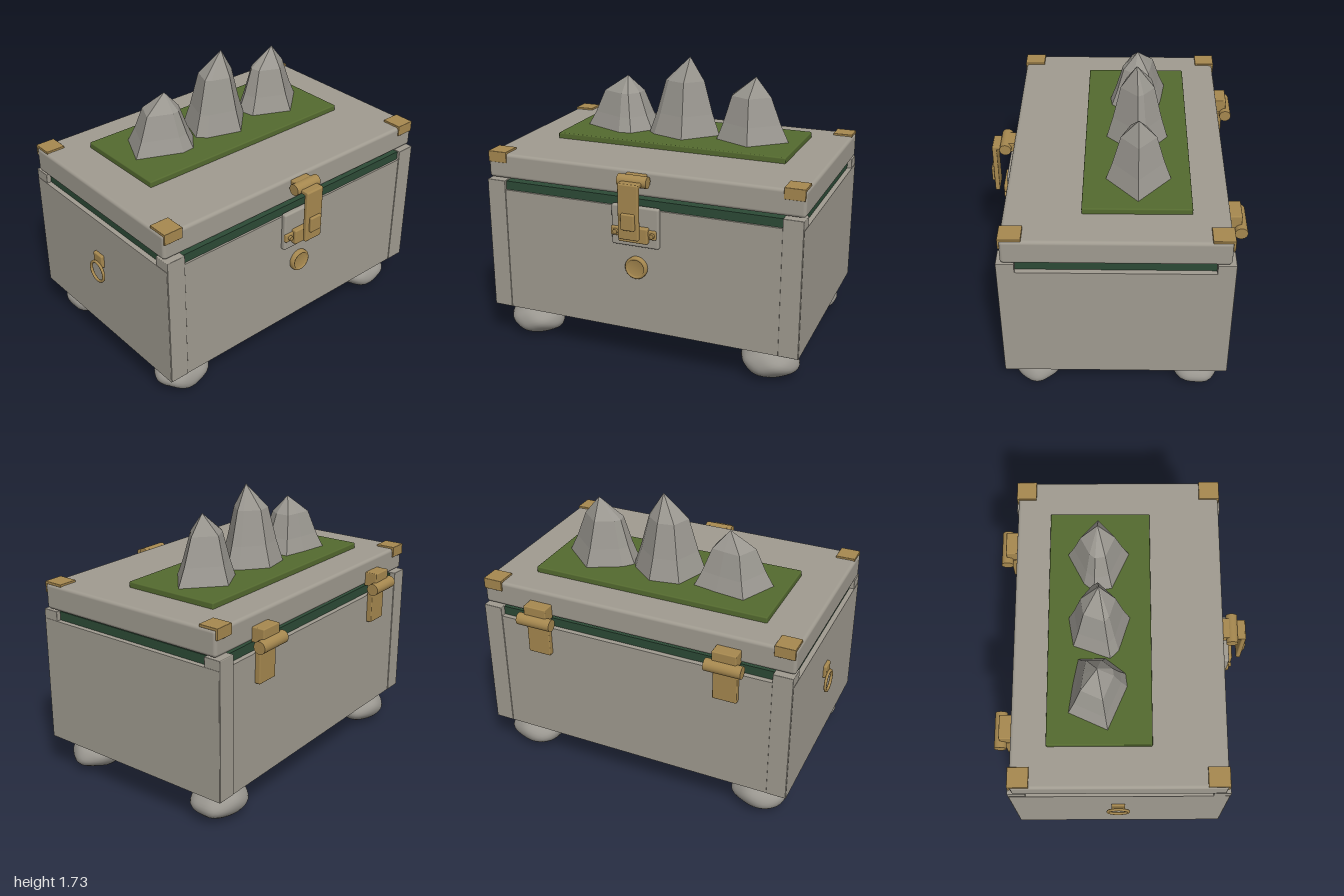
import * as THREE from 'three';
import { mergeVertices } from 'three/addons/utils/BufferGeometryUtils.js';
import { RoundedBoxGeometry } from 'three/addons/geometries/RoundedBoxGeometry.js';

const material = (name, color, extra = {}) => new THREE.MeshStandardMaterial({ name, color, ...extra });

export function createModel() {
  const chest = new THREE.Group();
  chest.name = 'chest';
  const grey = material('warm grey', 0xa09b90);
  const stone = material('stone grey', 0x9a9790);
  const facet = material('faceted stone', 0x9a9790, { flatShading: true });
  const brass = material('brass', 0xa6884f);
  const moss = material('moss green', 0x546a2f);
  const pine = material('dark green', 0x2c4a36);

  const add = (name, geometry, mat, parent = chest) => {
    const mesh = new THREE.Mesh(geometry, mat);
    mesh.name = name;
    parent.add(mesh);
    return mesh;
  };
  const group = (name) => {
    const g = new THREE.Group();
    g.name = name;
    chest.add(g);
    return g;
  };
  // Box given by its [min, max] extents, with an optional edge radius
  const box = (name, [x0, x1], [y0, y1], [z0, z1], mat, r = 0, parent = chest) => {
    const size = [x1 - x0, y1 - y0, z1 - z0];
    const g = r ? new RoundedBoxGeometry(...size, 2, r) : new THREE.BoxGeometry(...size);
    g.translate((x0 + x1) / 2, (y0 + y1) / 2, (z0 + z1) / 2);
    return add(name, g, mat, parent);
  };
  // Horizontal pin along x
  const pin = (name, [x0, x1], y, z, r, mat, parent) => {
    const g = new THREE.CylinderGeometry(r, r, x1 - x0, 24).rotateZ(Math.PI / 2);
    return add(name, g.translate((x0 + x1) / 2, y, z), mat, parent);
  };

  // Body, base, dark liner and lid
  const X = [-0.965, 0.997];
  box('body', X, [0.22, 0.992], [-0.67, 0.627], grey);
  box('basePlate', [-0.89, 0.915], [0.185, 0.225], [-0.575, 0.535], grey);
  box('liner', [-0.935, 0.967], [0.98, 1.045], [-0.64, 0.615], pine);
  box('lid', X, [1.056, 1.21], [-0.648, 0.606], grey, 0.02);

  // Corner posts, corner brackets and feet, one per corner
  for (const sx of [-1, 1]) for (const sz of [-1, 1]) {
    const px = sx < 0 ? [-0.963, -0.845] : [0.877, 0.995];
    const pz = sz < 0 ? [-0.675, -0.57] : [0.53, 0.632];
    box('cornerPost', px, [0.221, 1.05], pz, grey, 0.004);

    const bracket = group('cornerBracket');
    const bx = sx < 0 ? [-0.96, -0.84] : [0.872, 0.992];
    const bz = sz < 0 ? [-0.658, -0.535] : [0.485, 0.612];
    const flange = sz < 0 ? [-0.658, -0.644] : [0.6, 0.612];
    box('bracketTop', bx, [1.206, 1.222], bz, brass, 0.003, bracket);
    box('bracketFlange', bx, [1.155, 1.22], flange, brass, 0.003, bracket);

    // Lumpy rounded rock
    let rock = new THREE.IcosahedronGeometry(1, 5);
    rock.deleteAttribute('normal');
    rock.deleteAttribute('uv');
    rock = mergeVertices(rock);
    const p = rock.attributes.position, v = new THREE.Vector3(), k = sx * 1.7 + sz * 0.9;
    for (let i = 0; i < p.count; i++) {
      v.fromBufferAttribute(p, i);
      const bump = Math.sin(5 * v.x + k) * Math.sin(4 * v.y - k) + Math.sin(6 * v.z + 2 * k + 3 * v.x) * 0.7;
      v.multiplyScalar(0.98 + 0.035 * bump);
      p.setXYZ(i, v.x * 0.177, v.y * 0.1, v.z * 0.152);
    }
    rock.computeVertexNormals();
    add('foot', rock, stone).position.set(sx < 0 ? -0.757 : 0.788, 0.102, sz < 0 ? -0.503 : 0.455);
  }

  // Mossy plaque with three faceted peaks
  box('plaque', [-0.72, 0.755], [1.2, 1.245], [-0.44, 0.172], moss, 0.008);
  // Rings shrink from the outline toward the mid centre, then close at the apex
  const peak = (outline, mid, shoulder, apex) => {
    const n = outline.length, verts = [], index = [];
    for (const [t, s] of [[0, 1], [0.4, 0.79], [1, 0.54]]) {
      for (const [x, z] of outline) {
        verts.push(mid[0] + (x - mid[0]) * s, 1.24 + (shoulder - 1.24) * t, mid[1] + (z - mid[1]) * s);
      }
    }
    verts.push(...apex);
    for (let i = 0; i < n; i++) {
      const j = (i + 1) % n;
      for (const a of [0, n]) index.push(a + i, a + j, a + n + i, a + j, a + n + j, a + n + i);
      index.push(2 * n + i, 2 * n + j, 3 * n);
    }
    const g = new THREE.BufferGeometry();
    g.setAttribute('position', new THREE.Float32BufferAttribute(verts, 3));
    g.setIndex(index);
    g.computeVertexNormals();
    add('peak', g, facet);
  };
  peak([[-0.635, -0.085], [-0.37, 0.03], [-0.29, 0.02], [-0.195, -0.1], [-0.2, -0.26], [-0.35, -0.29], [-0.53, -0.315]],
    [-0.395, -0.14], 1.475, [-0.375, 1.578, -0.14]);
  peak([[-0.2, -0.07], [-0.15, -0.02], [0.06, 0.048], [0.245, -0.14], [0.21, -0.2], [0.06, -0.32], [-0.12, -0.29]],
    [0.02, -0.135], 1.58, [0.05, 1.728, -0.13]);
  peak([[0.23, -0.17], [0.25, -0.06], [0.48, 0.045], [0.69, -0.14], [0.475, -0.33], [0.28, -0.23]],
    [0.43, -0.14], 1.515, [0.472, 1.635, -0.14]);

  // Front latch
  const latch = group('latch');
  box('latchPlate', [-0.132, 0.162], [0.765, 1.01], [0.62, 0.656], grey, 0.012, latch);
  pin('latchUpperPin', [-0.078, 0.102], 1.165, 0.66, 0.035, brass, latch);
  box('latchUpperMount', [-0.05, 0.075], [1.135, 1.195], [0.595, 0.65], brass, 0.006, latch);
  box('latchArm', [-0.05, 0.075], [1.145, 1.17], [0.66, 0.742], brass, 0.006, latch);
  box('latchStrap', [-0.05, 0.075], [0.838, 1.168], [0.717, 0.745], brass, 0.008, latch);
  box('latchTab', [-0.027, 0.057], [0.9, 0.998], [0.735, 0.762], brass, 0.008, latch);
  box('latchKeeper', [-0.075, 0.105], [0.8, 0.895], [0.645, 0.688], brass, 0.008, latch);
  box('latchKeeperPlate', [-0.132, 0.15], [0.825, 0.88], [0.645, 0.668], brass, 0.008, latch);
  for (const x of [-0.1, 0.128]) {
    const rivet = new THREE.CylinderGeometry(0.014, 0.016, 0.016, 16).rotateX(Math.PI / 2);
    add('latchRivet', rivet, brass, latch).position.set(x, 0.852, 0.674);
  }

  // Round medallion under the latch
  const medallion = group('medallion');
  medallion.position.set(0.014, 0.627, 0.627);
  const disc = [[0, 0.018], [0.05, 0.018], [0.053, 0.028], [0.062, 0.028], [0.068, 0.02], [0.068, 0]]
    .reverse().map(([r, y]) => new THREE.Vector2(r, y));
  add('medallionDisc', new THREE.LatheGeometry(disc, 36).rotateX(Math.PI / 2),
    brass, medallion);

  // Ring pull on one side
  const pull = group('ringPull');
  box('ringMount', [-0.985, -0.955], [0.685, 0.768], [-0.07, 0.014], brass, 0.008, pull);
  const ring = new THREE.TorusGeometry(0.064, 0.009, 10, 36).rotateY(Math.PI / 2);
  add('ring', ring, brass, pull).position.set(-0.991, 0.648, -0.028);

  // Back hinges
  for (const x of [-0.58, 0.61]) {
    const hinge = group('hinge');
    pin('hingeBarrel', [x - 0.11, x + 0.11], 1.045, -0.722, 0.037, brass, hinge);
    box('hingeUpperLeaf', [x - 0.073, x + 0.073], [1.05, 1.138], [-0.725, -0.64], brass, 0.006, hinge);
    box('hingeLowerLeaf', [x - 0.073, x + 0.073], [0.815, 1.04], [-0.702, -0.665], brass, 0.006, hinge);
  }
  return chest;
}
